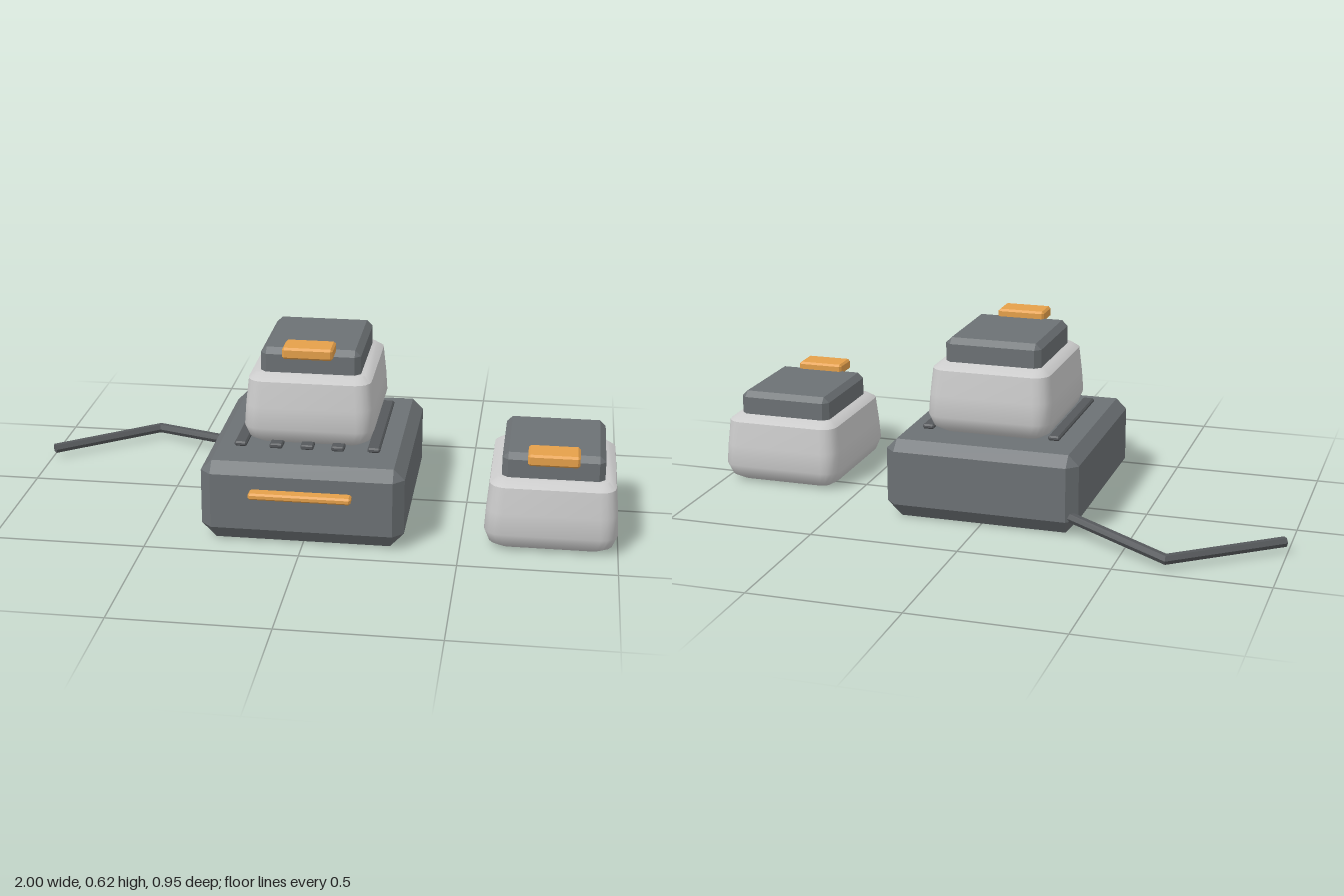
import * as THREE from 'three';
import { toCreasedNormals } from 'three/addons/utils/BufferGeometryUtils.js';

const material = (color, flatShading = true) => new THREE.MeshStandardMaterial({ color, flatShading });
const dark = material(0x6c7174);
const black = material(0x56595c);
const orange = material(0xe5a04a);
const grey = material(0xcccccc, false);

function meshGeometry(positions, index) {
  const geometry = new THREE.BufferGeometry();
  geometry.setAttribute('position', new THREE.Float32BufferAttribute(positions, 3));
  geometry.setIndex(index);
  geometry.computeVertexNormals();
  return geometry;
}

// Lofts rounded rectangles; each level is [y, half width, half depth, corner radius]
function loft(levels, cornerSteps = 1) {
  const positions = [], index = [];
  const n = 4 * (cornerSteps + 1);
  for (const [y, hx, hz, r] of levels) {
    for (let q = 0; q < 4; q++) {
      const sx = q === 0 || q === 3 ? 1 : -1;
      const sz = q < 2 ? 1 : -1;
      for (let s = 0; s <= cornerSteps; s++) {
        const a = (q + s / cornerSteps) * Math.PI / 2;
        positions.push(sx * (hx - r) + r * Math.cos(a), y, sz * (hz - r) + r * Math.sin(a));
      }
    }
  }
  for (let l = 0; l < levels.length - 1; l++) {
    for (let i = 0; i < n; i++) {
      const a = l * n + i, b = l * n + (i + 1) % n;
      index.push(a, a + n, b, b, a + n, b + n);
    }
  }
  // End caps
  const last = (levels.length - 1) * n;
  for (let i = 1; i < n - 1; i++) {
    index.push(0, i, i + 1);
    index.push(last, last + i + 1, last + i);
  }
  return meshGeometry(positions, index);
}

function add(parent, name, geometry, mat, x = 0, y = 0, z = 0) {
  const mesh = new THREE.Mesh(geometry, mat);
  mesh.name = name;
  mesh.position.set(x, y, z);
  parent.add(mesh);
}

// Box with bevelled edges, standing on its own origin
function bevelBox(w, h, d, b) {
  const x = w / 2, z = d / 2, e = 0.0005;
  return loft([
    [0, x - b, z - b, e], [b, x, z, b],
    [h - b, x, z, b], [h, x - b, z - b, e],
  ]);
}

// Battery pack: bulging body, lid and latch
function battery(name) {
  const group = new THREE.Group();
  group.name = name;
  const body = loft([
    [0, 0.165, 0.197, 0.03],
    [0.02, 0.197, 0.23, 0.05],
    [0.06, 0.212, 0.245, 0.055],
    [0.13, 0.208, 0.239, 0.055],
    [0.215, 0.199, 0.229, 0.05],
    [0.233, 0.176, 0.199, 0.03],
  ], 4);
  add(group, 'batteryBody', toCreasedNormals(body, 0.75), grey);
  // The lid's lower bevel is sunk into the body
  add(group, 'batteryLid', bevelBox(0.325, 0.1, 0.36, 0.019), dark, 0, 0.212, 0);
  add(group, 'batteryLatch', bevelBox(0.162, 0.038, 0.097, 0.007), orange, 0, 0.299, 0.197);
  return group;
}

// Hexagonal cable with a mitred bend
function cable(points, radius, sides = 6) {
  const directions = points.slice(1).map((p, i) => p.clone().sub(points[i]).normalize());
  const positions = [], index = [];
  const up = new THREE.Vector3(0, 1, 0);
  points.forEach((p, i) => {
    const before = directions[Math.max(i - 1, 0)];
    const after = directions[Math.min(i, directions.length - 1)];
    const tangent = before.clone().add(after).normalize();
    const side = new THREE.Vector3().crossVectors(tangent, up).normalize();
    const top = new THREE.Vector3().crossVectors(side, tangent);
    const miter = 1 / tangent.dot(after);
    for (let s = 0; s < sides; s++) {
      const a = s / sides * Math.PI * 2;
      const v = p.clone().addScaledVector(side, Math.cos(a) * radius * miter)
        .addScaledVector(top, Math.sin(a) * radius);
      positions.push(v.x, v.y, v.z);
    }
  });
  for (let l = 0; l < points.length - 1; l++) {
    for (let s = 0; s < sides; s++) {
      const a = l * sides + s, b = l * sides + (s + 1) % sides;
      index.push(a, a + sides, b, b, a + sides, b + sides);
    }
  }
  // End caps
  const last = (points.length - 1) * sides;
  for (let s = 1; s < sides - 1; s++) {
    index.push(0, s, s + 1, last, last + s + 1, last + s);
  }
  return meshGeometry(positions, index);
}

export function createModel() {
  const model = new THREE.Group();
  model.name = 'chargingDock';
  const cx = -0.003;

  // Charger base with a front status bar
  const base = loft([
    [0, 0.282, 0.315, 0.0005],
    [0.052, 0.327, 0.361, 0.035],
    [0.235, 0.327, 0.361, 0.035],
    [0.27, 0.292, 0.326, 0.0005],
  ]);
  add(model, 'chargerBase', base, dark, cx, 0, 0.072);
  add(model, 'statusBar', bevelBox(0.327, 0.022, 0.045, 0.006), orange, cx, 0.169, 0.45);

  // Guide rails and contacts around the seat
  for (const side of [-1, 1]) {
    add(model, 'guideRail', bevelBox(0.04, 0.016, 0.456, 0.005), black, cx + side * 0.216, 0.28, 0.068);
  }
  for (const x of [-0.1, 0, 0.1]) {
    add(model, 'contact', bevelBox(0.042, 0.016, 0.045, 0.004), black, cx + x, 0.28, 0.277);
  }

  // One battery docked, one standing beside the base
  const docked = battery('dockedBattery');
  docked.position.set(cx, 0.28, 0.04);
  const spare = battery('spareBattery');
  spare.position.set(0.786, 0, 0.139);
  model.add(docked, spare);

  // Power cable
  add(model, 'powerCable', cable([
    new THREE.Vector3(-0.28, 0.067, -0.253),
    new THREE.Vector3(-0.66, 0.034, -0.454),
    new THREE.Vector3(-0.99, 0.034, -0.198),
  ], 0.017), black);

  return model;
}
